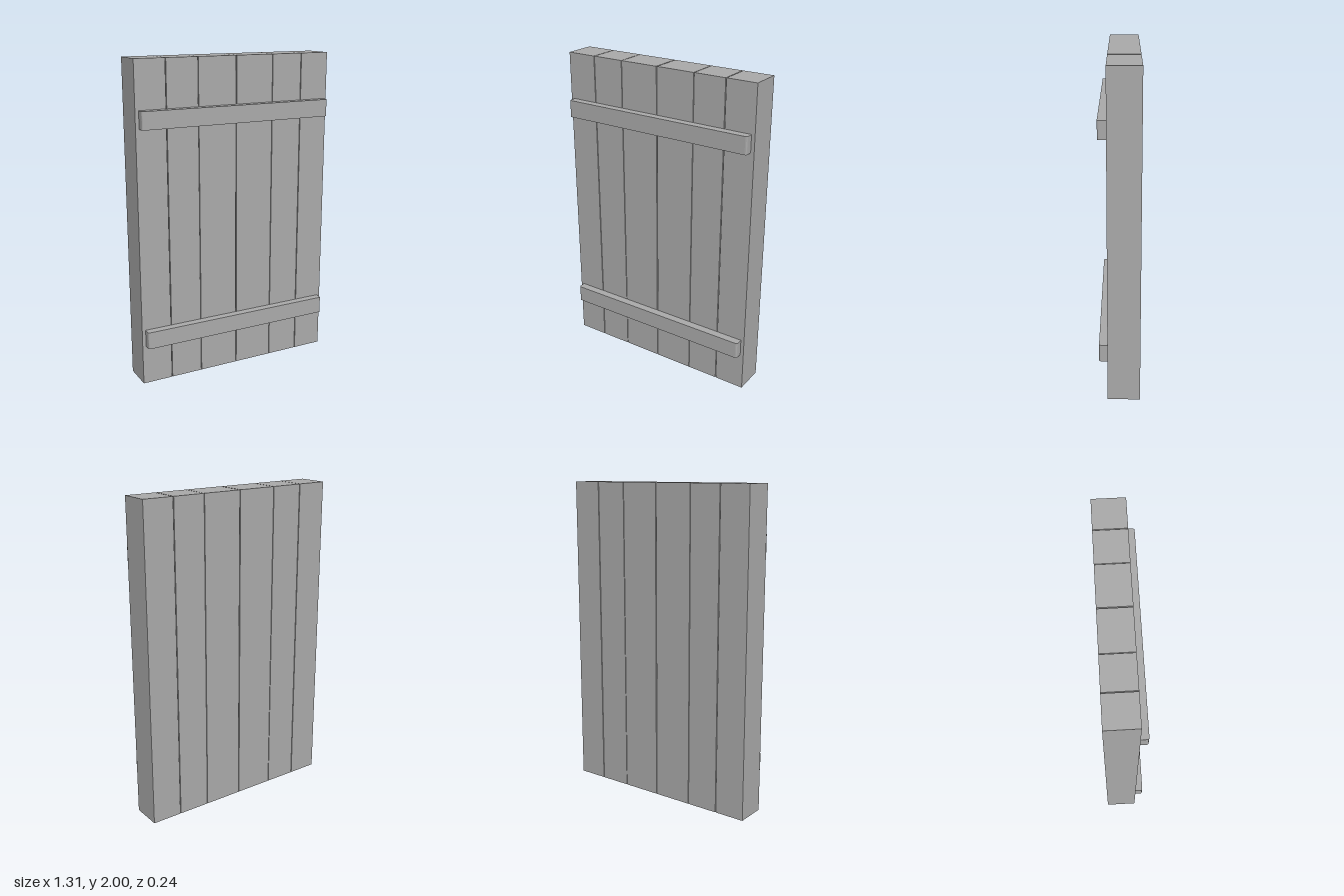
import * as THREE from 'three';

export function createModel() {
  const model = new THREE.Group();
  model.name = 'plankDoor';
  const grey = new THREE.MeshStandardMaterial({ color: 0xaaaaaa });
  grey.name = 'plain grey';

  const back = -0.122, face = 0.072, front = 0.122;

  // Vertical planks with narrow gaps: [left edge, right edge]
  const planks = [
    [-0.655, -0.463], [-0.458, -0.256], [-0.252, -0.003],
    [0.003, 0.252], [0.256, 0.458], [0.463, 0.655],
  ];
  planks.forEach(([x0, x1], i) => {
    const plank = new THREE.Mesh(new THREE.BoxGeometry(x1 - x0, 2, face - back), grey);
    plank.position.set((x0 + x1) / 2, 1, (face + back) / 2);
    plank.name = `plank${i + 1}`;
    model.add(plank);
  });

  // Cross battens: plan outline with eased front corners, extruded upward
  const w = 0.633, r = 0.012, height = 0.108;
  const outline = new THREE.Shape();
  outline.moveTo(-w, -face);
  outline.lineTo(-w, -front + r);
  outline.quadraticCurveTo(-w, -front, -w + r, -front);
  outline.lineTo(w - r, -front);
  outline.quadraticCurveTo(w, -front, w, -front + r);
  outline.lineTo(w, -face);
  outline.closePath();
  const battenGeometry = new THREE.ExtrudeGeometry(outline, {
    depth: height, bevelEnabled: false, curveSegments: 3,
  });
  battenGeometry.rotateX(-Math.PI / 2);

  [['lowerBatten', 0.248], ['upperBatten', 1.6]].forEach(([name, y]) => {
    const batten = new THREE.Mesh(battenGeometry, grey);
    batten.position.y = y;
    batten.name = name;
    model.add(batten);
  });

  return model;
}
